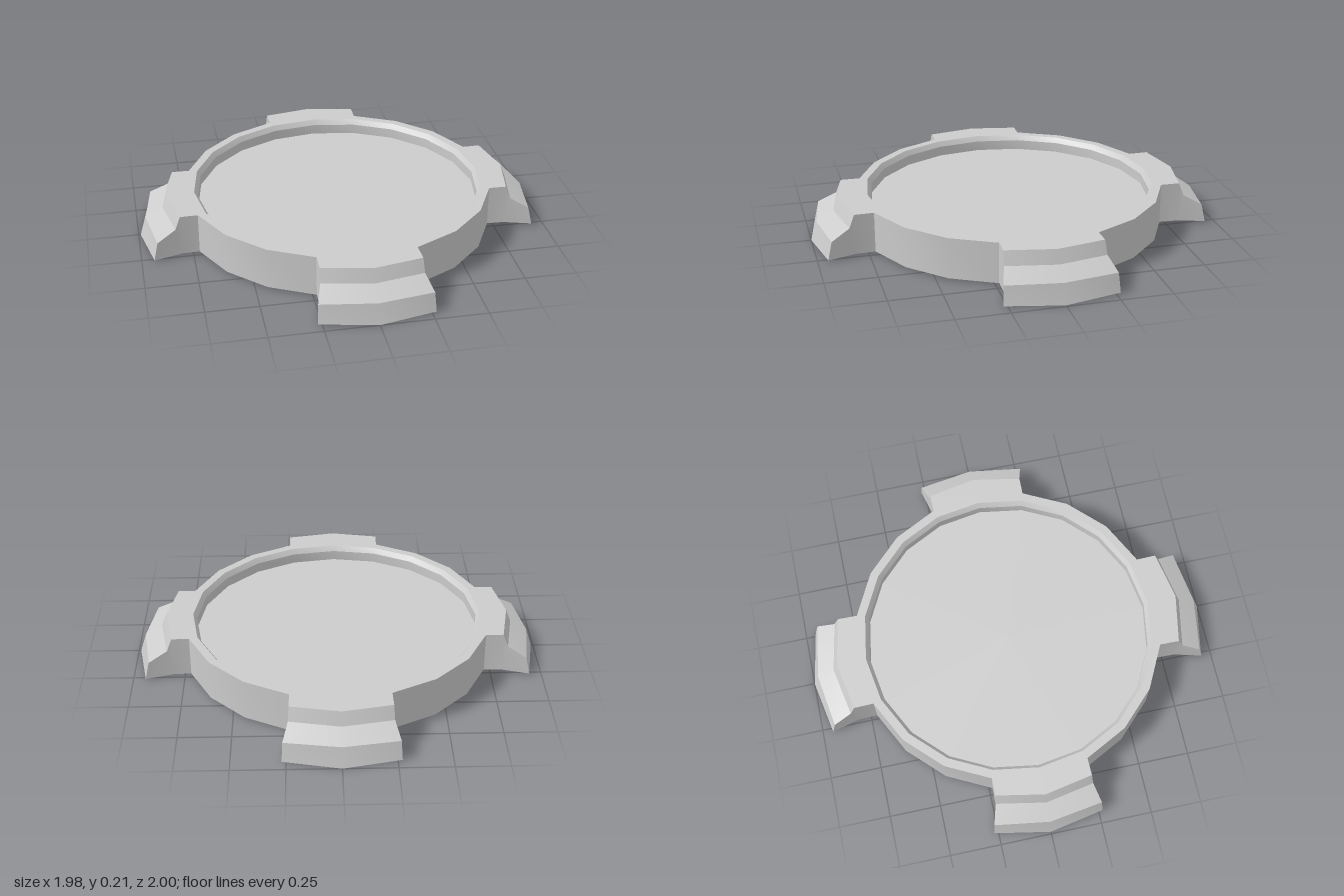
import * as THREE from 'three';
import { toCreasedNormals } from 'three/addons/utils/BufferGeometryUtils.js';

const TOP = 0.21, BASE = 0.01, RADIUS = 0.757, SIDES = 20, CREASE = 0.5;
const STEP = Math.PI * 2 / SIDES;
const neck = [RADIUS * Math.sin(STEP), RADIUS * Math.cos(STEP)];

// One lug, facing +z. Rows run from the dish over the steps and back underneath:
// corner [x, y, z] and middle [y, z]; reach is the distance of its outer tip.
function lugGeometry(reach) {
  const d = reach - 1;
  const rows = [
    { corner: [neck[0], TOP, neck[1]], mid: [TOP, RADIUS] },
    { corner: [0.236, TOP, 0.815 + d], mid: [TOP, 0.86 + d] },
    { corner: [0.24, 0.145, 0.84 + d], mid: [0.145, 0.885 + d] },
    { corner: [0.265, 0.095, 0.93 + d], mid: [0.095, 0.97 + d] },
    { corner: [0.27, 0.005, 0.95 + d], mid: [0, 1 + d] },
    { corner: [0.236, 0.009, 0.815 + d], mid: [0.008, 0.86 + d] },
    { corner: [neck[0], BASE, neck[1]], mid: [BASE, RADIUS] },
  ];
  const positions = [];
  for (const side of [1, -1]) {
    const corner = (i) => [side * rows[i].corner[0], rows[i].corner[1], rows[i].corner[2]];
    const mid = (i) => [0, ...rows[i].mid];
    const tri = (a, b, c) => positions.push(...a, ...(side > 0 ? b : c), ...(side > 0 ? c : b));

    // top, stepped front and underside
    for (let i = 0; i < rows.length - 1; i++) {
      tri(mid(i), mid(i + 1), corner(i + 1));
      tri(mid(i), corner(i + 1), corner(i));
    }
    // neck wall, then the flared end wall
    tri(corner(0), corner(1), corner(5));
    tri(corner(0), corner(5), corner(6));
    for (let i = 1; i < 4; i++) tri(corner(5), corner(i), corner(i + 1));
  }
  const geometry = new THREE.BufferGeometry();
  geometry.setAttribute('position', new THREE.Float32BufferAttribute(positions, 3));
  return toCreasedNormals(geometry, CREASE);
}

// Turned surface from [radius, y] points
function turned(profile, segments = SIDES, start = 0) {
  const points = profile.map(([r, y]) => new THREE.Vector2(r, y));
  return toCreasedNormals(new THREE.LatheGeometry(points, segments, start, segments * STEP), CREASE);
}

export function createModel() {
  const group = new THREE.Group();
  const material = new THREE.MeshStandardMaterial({ color: 0xcccccc });
  const add = (name, geometry, turn = 0) => {
    const mesh = new THREE.Mesh(geometry, material);
    mesh.name = name;
    mesh.rotation.y = turn;
    group.add(mesh);
  };

  // Dish: flat underside, and rim with bevel, inner wall and sunken floor
  add('underside', turned([[0, BASE], [RADIUS, BASE]]));
  add('rimAndFloor', turned([[RADIUS, TOP], [0.715, TOP], [0.697, 0.185], [0.697, 0.135], [0, 0.135]]));

  // Outer wall between the lugs, and four stepped lugs
  const wall = turned([[RADIUS, BASE], [RADIUS, TOP]], 3, STEP);
  const longLug = lugGeometry(1), shortLug = lugGeometry(0.99);
  ['front', 'left', 'back', 'right'].forEach((name, i) => {
    const turn = i * Math.PI / 2;
    add(name + 'Lug', i % 2 ? shortLug : longLug, turn);
    add('outerWall', wall, turn);
  });
  return group;
}
